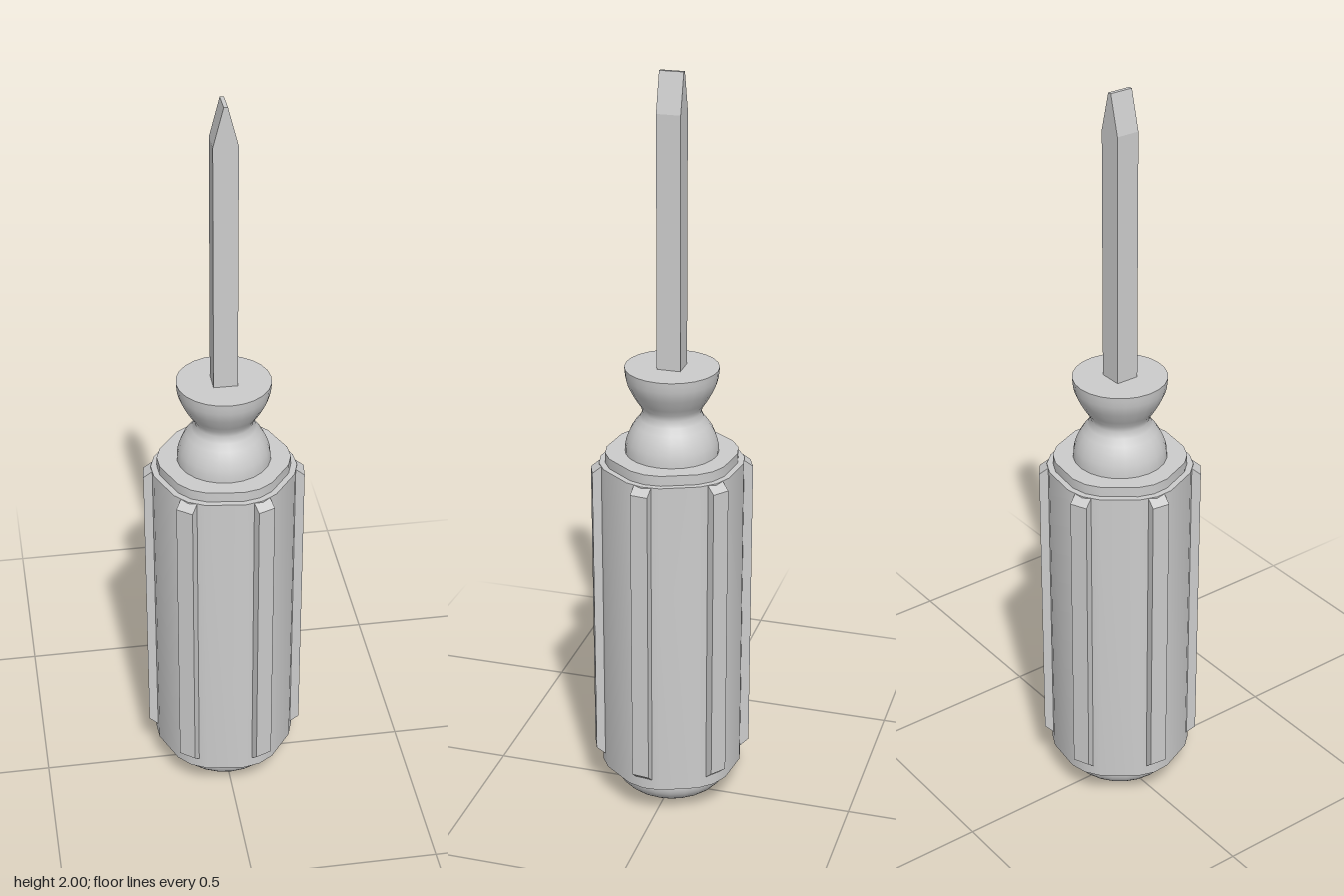
import * as THREE from 'three';
import { toCreasedNormals } from 'three/addons/utils/BufferGeometryUtils.js';

const RIBS = 6;
const ribAngle = (i) => THREE.MathUtils.degToRad(7.2 + (i * 360) / RIBS);

export function createModel() {
  const group = new THREE.Group();
  const material = new THREE.MeshStandardMaterial({ color: 0xcccccc });

  const add = (name, geometry, parent = group) => {
    const mesh = new THREE.Mesh(geometry, material);
    mesh.name = name;
    parent.add(mesh);
    return mesh;
  };

  // Upright prism with flats between the ribs and a rounded corner under each rib
  const gripPrism = (radius, bottom, top) => {
    const points = [];
    for (let i = 0; i < RIBS; i++) {
      for (const [offset, scale] of [[-0.248, 1], [0, 1.015], [0.248, 1]]) {
        const a = ribAngle(i) + offset;
        points.push(new THREE.Vector2(Math.cos(a), Math.sin(a)).multiplyScalar(radius * scale));
      }
    }
    const geometry = new THREE.ExtrudeGeometry(new THREE.Shape(points), {
      depth: top - bottom, bevelEnabled: false,
    });
    geometry.rotateX(Math.PI / 2).translate(0, top, 0);
    return toCreasedNormals(geometry, 0.7);
  };

  // Turned part from [radius, height] pairs; smoothed along a spline
  const turned = (pairs, flatTop) => {
    const curve = new THREE.SplineCurve(pairs.map(([r, y]) => new THREE.Vector2(r, y)));
    const points = curve.getPoints(16);
    if (flatTop) points.push(new THREE.Vector2(0, pairs[pairs.length - 1][1]));
    points.forEach((p) => { p.x = Math.max(p.x, 0); });
    return toCreasedNormals(new THREE.LatheGeometry(points, 24), 0.8);
  };

  // Grip and its stepped collar
  add('grip', gripPrism(0.187, 0.1, 0.985));
  add('gripCollar', gripPrism(0.171, 0.98, 1.012));

  // Rounded butt of the handle
  add('endCap', turned([
    [0, 0.005], [0.06, 0.011], [0.11, 0.026], [0.143, 0.052], [0.155, 0.08], [0.152, 0.11],
  ], true));

  // Waisted neck
  add('neck', turned([
    [0.122, 1.008], [0.119, 1.04], [0.104, 1.078], [0.076, 1.122],
    [0.098, 1.165], [0.117, 1.205], [0.122, 1.243],
  ], true));

  // Grip ribs with slanted ends
  const ribShape = new THREE.Shape([
    new THREE.Vector2(0.15, 0.125), new THREE.Vector2(0.182, 0.125),
    new THREE.Vector2(0.209, 0.148), new THREE.Vector2(0.209, 0.966),
    new THREE.Vector2(0.184, 0.985), new THREE.Vector2(0.15, 0.985),
  ]);
  const ribGeometry = new THREE.ExtrudeGeometry(ribShape, { depth: 0.047, bevelEnabled: false });
  ribGeometry.translate(0, 0, -0.0235);
  const ribs = new THREE.Group();
  ribs.name = 'gripRibs';
  group.add(ribs);
  for (let i = 0; i < RIBS; i++) {
    add('gripRib', ribGeometry, ribs).rotation.y = -ribAngle(i);
  }

  // Square shaft ending in a wedge-shaped blade
  const w = 0.031;
  const bladeShape = new THREE.Shape([
    new THREE.Vector2(-w, 1.2), new THREE.Vector2(w, 1.2), new THREE.Vector2(w, 1.9),
    new THREE.Vector2(0.005, 2), new THREE.Vector2(-0.005, 2), new THREE.Vector2(-w, 1.9),
  ]);
  const blade = new THREE.ExtrudeGeometry(bladeShape, { depth: 2 * w, bevelEnabled: false });
  add('blade', blade.translate(0, 0, -w));

  return group;
}
